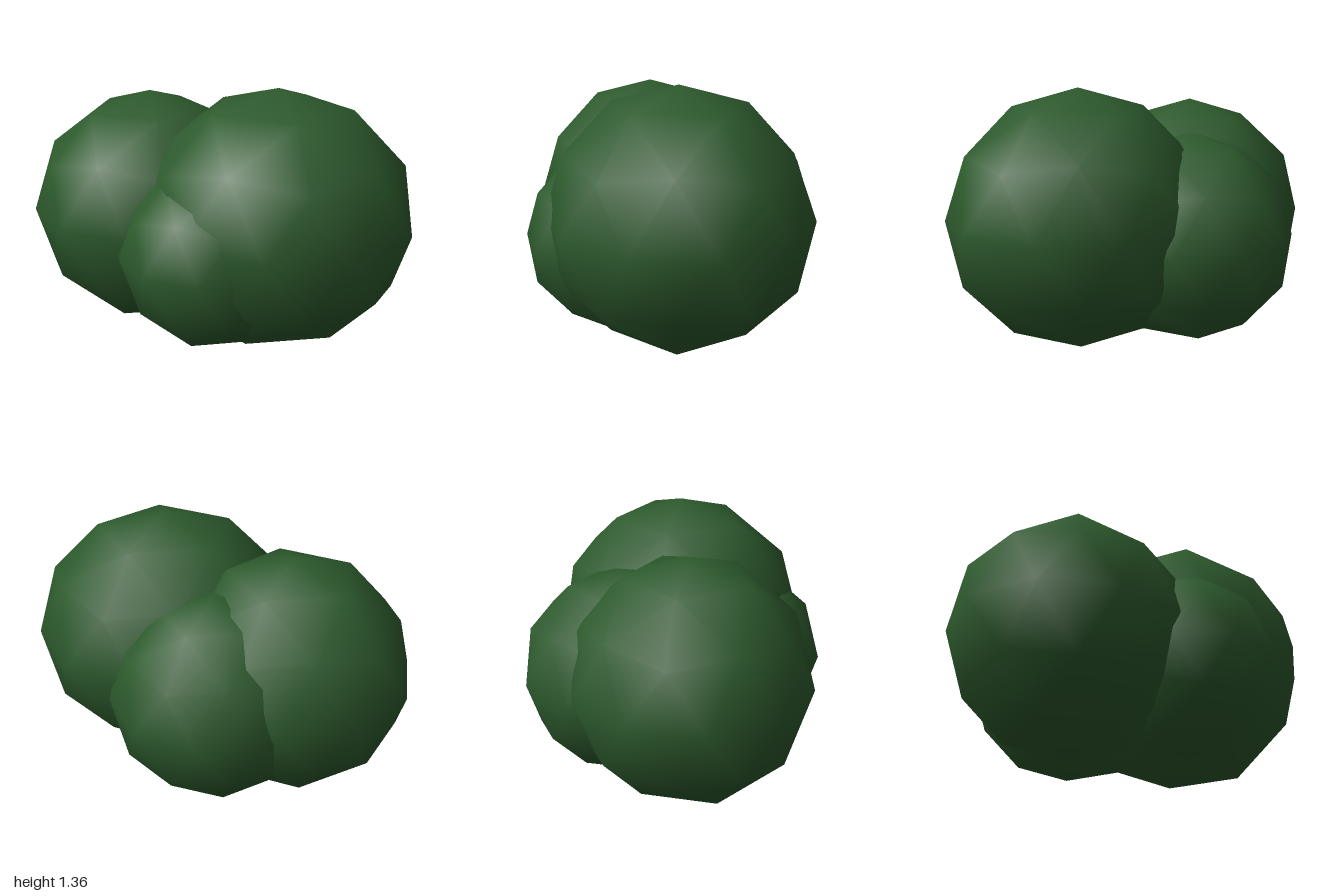
import * as THREE from 'three';

export function createModel() {
  const group = new THREE.Group();
  group.name = 'bush';
  const leafGreen = new THREE.MeshStandardMaterial({ color: 0x2d5a2d });
  leafGreen.name = 'leafGreen';

  // Turns the icosphere so that one of its corners points straight up
  const tilt = -Math.atan(2 / (1 + Math.sqrt(5)));

  // Overlapping leaf clumps: name, centre, radii
  const clumps = [
    ['largeLeftClump', [0.32, 0.692, 0.17], [0.714, 0.672, 0.67]],
    ['rightClump', [-0.39, 0.64, -0.1], [0.642, 0.636, 0.62]],
    ['frontClump', [0.02, 0.55, 0.35], [0.484, 0.49, 0.48]],
    ['backClump', [-0.03, 0.58, -0.3], [0.546, 0.55, 0.545]],
  ];
  for (const [name, centre, radii] of clumps) {
    const geometry = new THREE.IcosahedronGeometry(1, 1).rotateZ(tilt).scale(...radii);
    const clump = new THREE.Mesh(geometry, leafGreen);
    clump.name = name;
    clump.position.set(...centre);
    group.add(clump);
  }
  return group;
}
